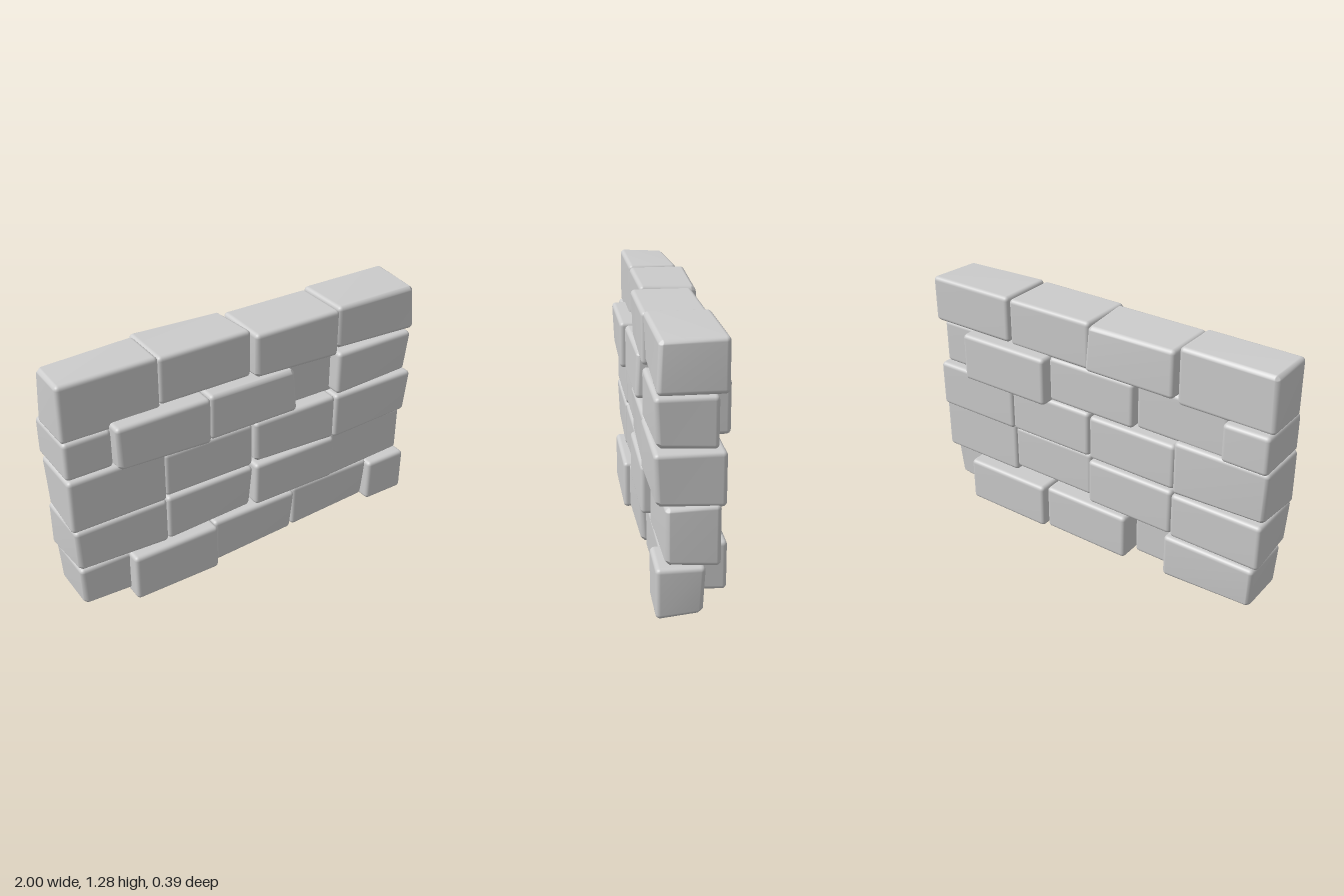
import * as THREE from 'three';
import { RoundedBoxGeometry } from 'three/addons/geometries/RoundedBoxGeometry.js';
import { mergeVertices } from 'three/addons/utils/BufferGeometryUtils.js';

// Stones per course: [x0, x1, y0, y1, z0, z1, chipped corners as 'xyz' signs]
const courses = {
  bottomCourse: [
    [-0.97, -0.47, 0.02, 0.257, -0.165, 0.12, ['--+', '---']],
    [-0.71, -0.235, 0.0, 0.26, -0.06, 0.187, []],
    [-0.24, 0.258, 0.015, 0.262, -0.17, 0.155, ['+-+']],
    [0.267, 0.77, 0.015, 0.26, -0.192, 0.125, ['+-+']],
    [0.755, 1.0, 0.015, 0.257, -0.055, 0.165, ['+--']],
  ],
  secondCourse: [
    [-0.99, -0.5, 0.265, 0.512, -0.16, 0.15, ['--+']],
    [-0.497, 0.0, 0.265, 0.515, -0.15, 0.145, ['+-+']],
    [0.0, 0.493, 0.287, 0.533, -0.125, 0.172, []],
    [0.495, 0.992, 0.253, 0.542, -0.122, 0.13, ['+++', '+-+']],
  ],
  thirdCourse: [
    [-1.0, -0.497, 0.508, 0.797, -0.145, 0.145, ['---']],
    [-0.5, 0.0, 0.523, 0.767, -0.14, 0.14, []],
    [0.0, 0.49, 0.532, 0.78, -0.145, 0.165, ['--+']],
    [0.49, 0.987, 0.527, 0.78, -0.145, 0.17, ['+-+']],
  ],
  fourthCourse: [
    [-1.0, -0.76, 0.8, 1.0, -0.17, 0.135, []],
    [-0.765, -0.27, 0.785, 1.03, -0.12, 0.195, ['--+']],
    [-0.26, 0.245, 0.78, 1.022, -0.14, 0.17, ['+++']],
    [0.235, 0.76, 0.77, 1.027, -0.2, 0.09, []],
    [0.5, 0.967, 0.783, 1.02, -0.112, 0.165, ['+-+']],
  ],
  topCourse: [
    [-1.0, -0.498, 0.99, 1.285, -0.13, 0.122, ['-+-']],
    [-0.5, 0.0, 1.03, 1.277, -0.172, 0.12, ['++-']],
    [0.0, 0.49, 1.018, 1.267, -0.137, 0.165, ['--+']],
    [0.49, 0.987, 1.03, 1.275, -0.15, 0.157, ['+++', '--+']],
  ],
};

// Rounded block whose chipped corners are flattened onto a slanted plane
function stoneGeometry(w, h, d, chips) {
  const geo = new RoundedBoxGeometry(w, h, d, 3, 0.022);
  const pos = geo.attributes.position;
  const v = new THREE.Vector3();
  for (const chip of chips) {
    const signs = [...chip].map((c) => (c === '+' ? 1 : -1));
    const n = new THREE.Vector3(...signs).normalize();
    const limit = (w + h + d) / 2 / Math.sqrt(3) - 0.04;
    for (let i = 0; i < pos.count; i++) {
      v.fromBufferAttribute(pos, i);
      const over = v.dot(n) - limit;
      if (over > 0) v.addScaledVector(n, -over);
      pos.setXYZ(i, v.x, v.y, v.z);
    }
  }
  // Weld so the shading rolls smoothly over the edges
  geo.deleteAttribute('normal');
  geo.deleteAttribute('uv');
  geo.clearGroups();
  const welded = mergeVertices(geo, 1e-4);
  welded.computeVertexNormals();
  return welded;
}

export function createModel() {
  const wall = new THREE.Group();
  wall.name = 'stoneWall';
  const material = new THREE.MeshStandardMaterial({ color: 0xcccccc });
  for (const [name, stones] of Object.entries(courses)) {
    const course = new THREE.Group();
    course.name = name;
    stones.forEach(([x0, x1, y0, y1, z0, z1, chips], i) => {
      const stone = new THREE.Mesh(stoneGeometry(x1 - x0, y1 - y0, z1 - z0, chips), material);
      stone.position.set((x0 + x1) / 2, (y0 + y1) / 2, (z0 + z1) / 2);
      stone.name = `stone${i + 1}`;
      course.add(stone);
    });
    wall.add(course);
  }
  return wall;
}
